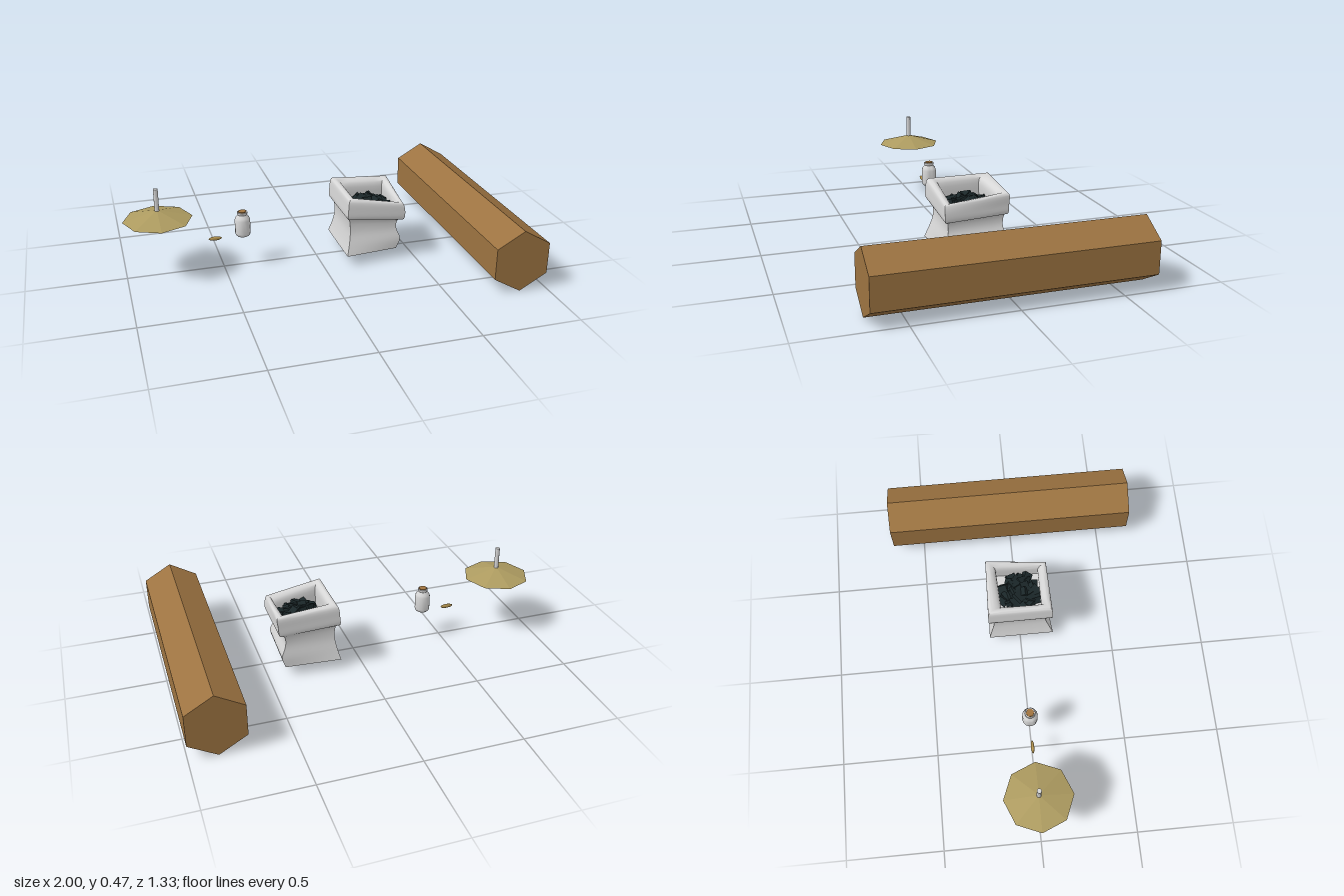
import * as THREE from 'three';
import { toCreasedNormals } from 'three/addons/utils/BufferGeometryUtils.js';

const material = (name, color, extra = {}) => {
  const m = new THREE.MeshStandardMaterial({ color, ...extra });
  m.name = name;
  return m;
};

// Lofts the sack: one smooth vertical curve per corner, straight cloth between corners
function sackGeometry() {
  // corners in the order left front, right front, right back, left back: [x, y, z]
  const levels = [
    [[.12, .055, .18], [.40, .055, .15], [.412, .055, -.15], [.12, .055, -.17]],
    [[.135, .11, .16], [.42, .11, .15], [.428, .11, -.15], [.135, .11, -.155]],
    [[.146, .18, .14], [.40, .17, .14], [.405, .18, -.14], [.146, .18, -.14]],
    [[.138, .25, .145], [.405, .215, .145], [.41, .23, -.145], [.138, .25, -.145]],
    [[.123, .262, .17], [.432, .225, .163], [.437, .245, -.155], [.123, .26, -.165]],
    [[.124, .31, .173], [.437, .27, .167], [.442, .29, -.157], [.124, .31, -.168]],
    [[.132, .362, .165], [.426, .312, .163], [.446, .346, -.155], [.132, .364, -.163]],
    [[.15, .368, .145], [.415, .315, .145], [.43, .352, -.14], [.15, .37, -.14]],
    [[.17, .345, .12], [.402, .295, .122], [.406, .33, -.11], [.17, .35, -.10]],
    [[.17, .24, .12], [.402, .23, .122], [.406, .23, -.11], [.17, .24, -.10]]
  ];
  const curves = [0, 1, 2, 3].map(c =>
    new THREE.CatmullRomCurve3(levels.map(l => new THREE.Vector3(...l[c]))));
  const steps = 36, sub = 5, n = 4 * sub;
  const pos = [], index = [];
  for (let k = 0; k <= steps; k++) {
    const p = curves.map(c => c.getPoint(k / steps));
    for (let i = 0; i < n; i++) {
      const c = Math.floor(i / sub);
      pos.push(...p[c].clone().lerp(p[(c + 1) % 4], (i % sub) / sub).toArray());
    }
  }
  for (let k = 0; k < steps; k++) for (let i = 0; i < n; i++) {
    const a = k * n + i, b = k * n + (i + 1) % n;
    index.push(a, b, b + n, a, b + n, a + n);
  }
  // underside and inner floor
  const base = pos.length / 3, top = steps * n;
  pos.push(.263, .055, 0, .285, .235, .01);
  for (let i = 0; i < n; i++) {
    const j = (i + 1) % n;
    index.push(base, j, i, base + 1, top + i, top + j);
  }
  const g = new THREE.BufferGeometry();
  g.setAttribute('position', new THREE.Float32BufferAttribute(pos, 3));
  g.setIndex(index);
  return toCreasedNormals(g, 1.1);
}

const lathe = (points, sides) =>
  toCreasedNormals(new THREE.LatheGeometry(points.map(p => new THREE.Vector2(...p)), sides), 0.9);

export function createModel() {
  const model = new THREE.Group();
  const wood = material('wood', 0x9c7341, { flatShading: true });
  const cloth = material('pale grey', 0xd6d6d6);
  const coal = material('coal', 0x1b2729, { flatShading: true });
  const straw = material('straw', 0xad9b60, { flatShading: true, side: THREE.DoubleSide });
  const grainColour = material('grain', 0xb0914e);
  const corkColour = material('cork', 0xa0743f, { flatShading: true });

  const add = (name, geometry, mat, x = 0, y = 0, z = 0, parent = model) => {
    const mesh = new THREE.Mesh(geometry, mat);
    mesh.name = name;
    mesh.position.set(x, y, z);
    parent.add(mesh);
    return mesh;
  };

  // hexagonal log, ridge upwards
  const logGeometry = new THREE.CylinderGeometry(.162, .162, 1.334, 6);
  logGeometry.rotateX(Math.PI / 2);
  add('log', logGeometry, wood, .859, .162, 0);

  // sack with its rolled cuff
  add('sack', sackGeometry(), cloth);

  // heap of coal
  const coals = new THREE.Group();
  coals.name = 'coals';
  model.add(coals);
  let seed = 7;
  const rnd = () => (seed = (seed * 16807) % 2147483647) / 2147483647;
  for (let i = 0; i < 30; i++) {
    const r = .095 * Math.sqrt((i + .3) / 30), a = i * 2.4;
    const lump = add('coalLump', new THREE.BoxGeometry(.05, .036, .044), coal,
      .285 + r * Math.cos(a), .292 - r * .4 + rnd() * .012, .012 + r * Math.sin(a), coals);
    lump.rotation.set(rnd() * 1.2 - .6, rnd() * 6.28, rnd() * 1.2 - .6);
    lump.scale.setScalar(.85 + rnd() * .35);
  }

  // hanging lamp: octagonal shade, rod and bulb
  const lamp = new THREE.Group();
  lamp.name = 'lamp';
  lamp.position.set(-.825, 0, 0);
  model.add(lamp);
  add('lampShade', new THREE.ConeGeometry(.175, .05, 8, 1, true), straw, 0, .335, 0, lamp);
  add('lampRod', new THREE.CylinderGeometry(.012, .012, .13, 10), cloth, 0, .407, 0, lamp);
  add('lampBulb', lathe([[0, .285], [.013, .288], [.023, .296], [.025, .305], [.02, .316],
    [.012, .328], [.01, .35]], 12), cloth, 0, 0, 0, lamp);

  // small grain
  const grain = add('grain', new THREE.SphereGeometry(1, 10, 8), grainColour, -.54, .165, 0);
  grain.scale.set(.035, .011, .009);

  // corked jar
  const jar = new THREE.Group();
  jar.name = 'jar';
  jar.position.set(-.395, 0, 0);
  model.add(jar);
  add('jarBody', lathe([[0, .166], [.03, .166], [.038, .174], [.04, .185], [.04, .255], [.036, .268],
    [.027, .278], [.024, .284], [.027, .288], [.027, .298], [.021, .298]], 14), cloth, 0, 0, 0, jar);
  add('jarCork', new THREE.CylinderGeometry(.022, .02, .03, 6), corkColour, 0, .287, 0, jar);

  return model;
}
